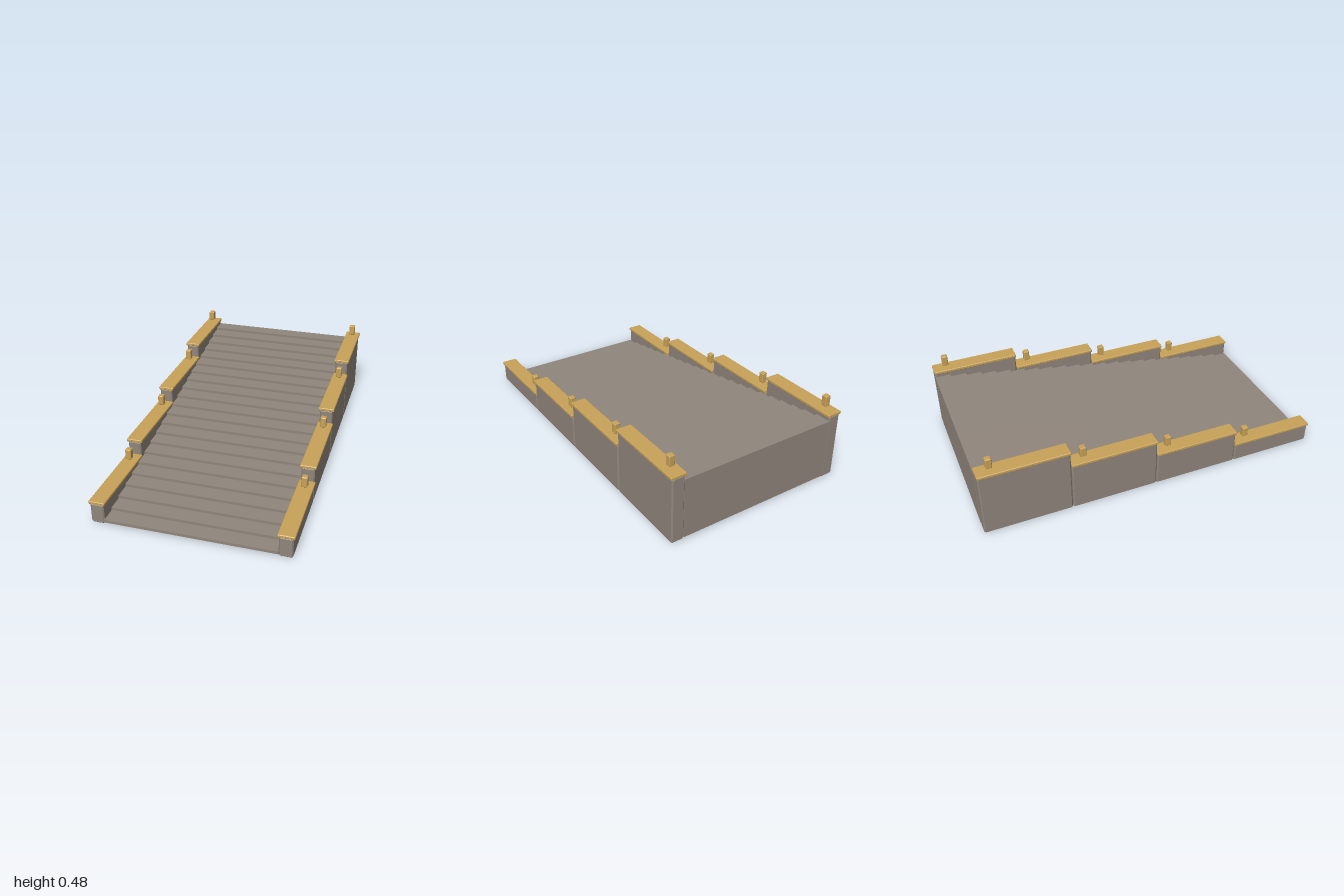
import * as THREE from 'three';

const stone = new THREE.MeshStandardMaterial({ color: 0x90867c });
stone.name = 'grey stone';
const gold = new THREE.MeshStandardMaterial({ color: 0xc8a258 });
gold.name = 'gold trim';

// Box with flat chamfers on every edge, centred on its origin
function chamferBox(w, h, d, c) {
  const x = w / 2 - c, y = h / 2 - c, k = c * 0.5;
  const shape = new THREE.Shape([
    [-x + k, -y], [x - k, -y], [x, -y + k], [x, y - k],
    [x - k, y], [-x + k, y], [-x, y - k], [-x, -y + k],
  ].map(([a, b]) => new THREE.Vector2(a, b)));
  const g = new THREE.ExtrudeGeometry(shape, {
    depth: d - 2 * c, bevelEnabled: true, bevelThickness: c, bevelSize: c, bevelSegments: 1,
  });
  return g.translate(0, 0, -(d / 2 - c));
}

function add(parent, name, geometry, material, x, y, z) {
  const mesh = new THREE.Mesh(geometry, material);
  mesh.name = name;
  mesh.position.set(x, y, z);
  parent.add(mesh);
}

export function createModel() {
  const model = new THREE.Group();
  model.name = 'grandStaircase';

  // Steps: solid blocks rising towards the back
  const steps = new THREE.Group();
  steps.name = 'steps';
  model.add(steps);
  const count = 22, run = 2 / count, base = 0.012, rise = (0.361 - base) / count;
  for (let i = 0; i < count; i++) {
    const h = rise * (i + 1);
    add(steps, 'step', new THREE.BoxGeometry(0.93, h, run), stone, 0, base + h / 2, 1 - run * (i + 0.5));
  }

  // Stepped side walls with caps and small posts
  for (const side of [-1, 1]) {
    const wall = new THREE.Group();
    wall.name = side > 0 ? 'leftWall' : 'rightWall';
    model.add(wall);
    for (let i = 0; i < 4; i++) {
      const top = 0.13 + 0.09 * i, z = 0.75 - 0.5 * i, x = 0.5 * side;
      const wallHeight = top - 0.014;
      add(wall, 'wallBlock', chamferBox(0.074, wallHeight, 0.496, 0.007), stone, x, wallHeight / 2, z);
      add(wall, 'cap', chamferBox(0.09, 0.018, 0.5, 0.003), gold, x, top - 0.009, z);
      add(wall, 'post', chamferBox(0.034, 0.062, 0.034, 0.004), gold, x, top + 0.045, z - 0.175);
    }
  }
  return model;
}
